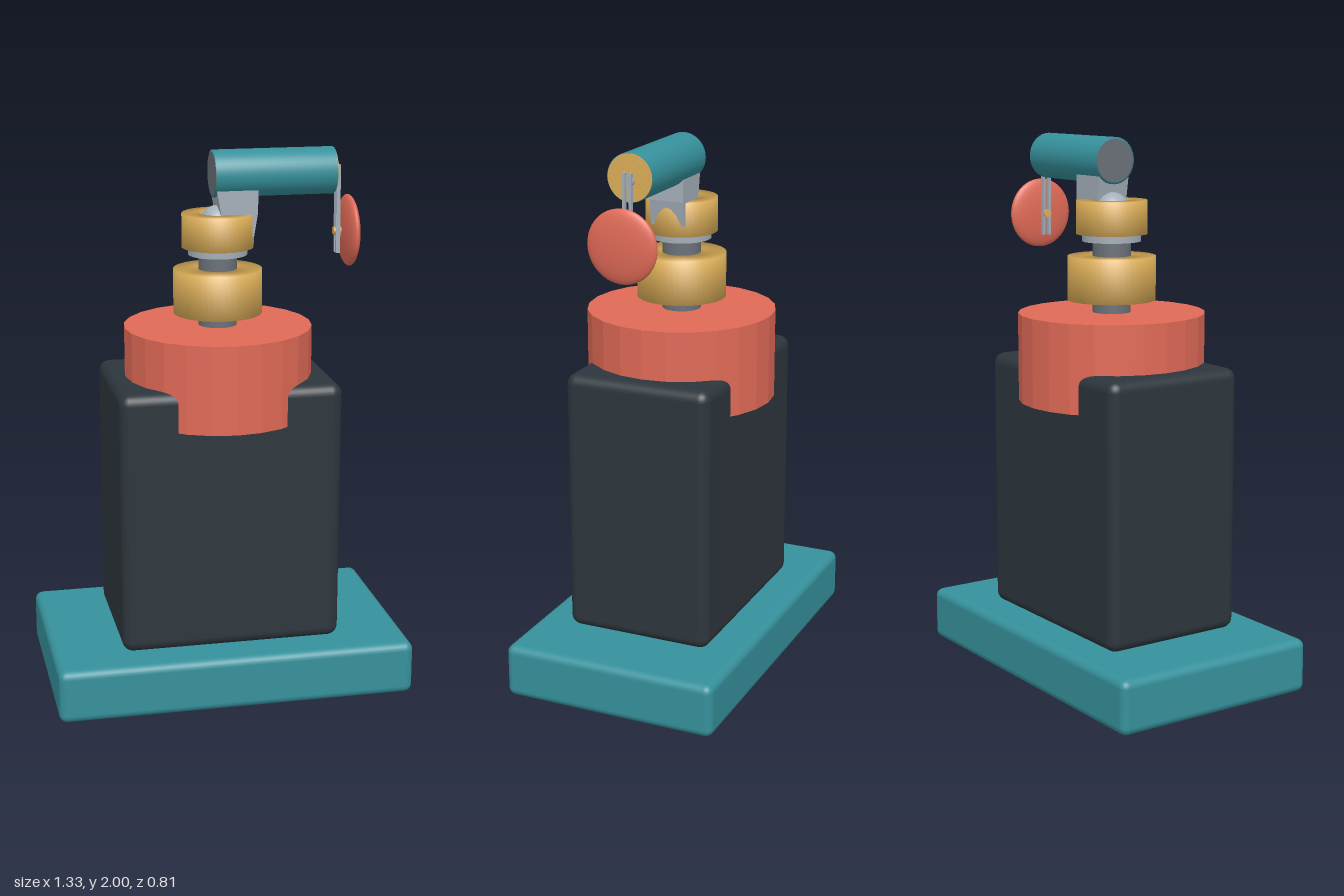
import * as THREE from 'three';
import { RoundedBoxGeometry } from 'three/addons/geometries/RoundedBoxGeometry.js';

const mat = (name, color, extra = {}) => {
  const m = new THREE.MeshStandardMaterial({ color, ...extra });
  m.name = name;
  return m;
};

export function createModel() {
  const teal = mat('teal', 0x36919c);
  const dark = mat('charcoal', 0x2d363d);
  const coral = mat('coral', 0xe06a57);
  const coralFlat = coral.clone();
  coralFlat.flatShading = true;
  const gold = mat('gold', 0xdcae58);
  const steel = mat('pale steel', 0xa4afb9);
  const shaftSteel = mat('dark steel', 0x6a7178);

  const model = new THREE.Group();
  const add = (name, geometry, material, x = 0, y = 0, z = 0) => {
    const mesh = new THREE.Mesh(geometry, material);
    mesh.name = name;
    mesh.position.set(x, y, z);
    model.add(mesh);
    return mesh;
  };
  // Ring of rectangular section with softly blended corners
  const ring = (inner, outer, y0, y1) => new THREE.LatheGeometry(
    [[inner, y0], [outer, y0], [outer, y1], [inner, y1], [inner, y0]]
      .map(([r, y]) => new THREE.Vector2(r, y)), 48);

  // Pedestal
  add('base', new RoundedBoxGeometry(1.325, 0.2, 0.813, 3, 0.03), teal, 0, 0.105, 0);
  add('body', new RoundedBoxGeometry(0.815, 0.98, 0.557, 4, 0.04), dark, 0, 0.692, 0);
  add('collar', new THREE.CylinderGeometry(0.345, 0.345, 0.325, 24), coralFlat, 0, 1.2, 0);

  // Spindle and its rings
  add('shaft', new THREE.CylinderGeometry(0.07, 0.07, 0.41, 32), shaftSteel, 0, 1.545, 0);
  add('lowerRing', ring(0.068, 0.162, 1.408, 1.57), gold);
  add('washer', new THREE.CylinderGeometry(0.108, 0.108, 0.03, 40), steel, 0, 1.638, 0);
  add('upperRing', ring(0.066, 0.131, 1.65, 1.773), gold);
  add('spindleTip', new THREE.SphereGeometry(0.066, 24, 12, 0, Math.PI * 2, 0, Math.PI / 2), steel, 0, 1.735, 0);

  // Slanted elbow carrying the barrel
  const elbowShape = new THREE.Shape([[-0.015, 1.86], [0.005, 1.745], [0.12, 1.69], [0.135, 1.78], [0.135, 1.86]]
    .map(([x, y]) => new THREE.Vector2(x, y)));
  add('elbow', new THREE.ExtrudeGeometry(elbowShape, { depth: 0.13, bevelEnabled: false }), steel, 0, 0, -0.065);

  // Horizontal barrel; its axis runs along +x
  const barrel = new THREE.Group();
  barrel.name = 'barrel';
  barrel.position.set(0.2025, 1.915, 0);
  barrel.rotation.z = -Math.PI / 2;
  model.add(barrel);
  const addBarrel = (name, geometry, material, y) => {
    const mesh = new THREE.Mesh(geometry, material);
    mesh.name = name;
    mesh.position.y = y;
    barrel.add(mesh);
  };
  addBarrel('barrelTube', ring(0.06, 0.085, -0.222, 0.222), teal, 0);
  addBarrel('rearCap', new THREE.CylinderGeometry(0.079, 0.079, 0.004, 40), shaftSteel, -0.222);
  for (let i = 0; i < 5; i++) {
    const r = 0.083 - i * 0.014;
    addBarrel('frontCapStep', new THREE.CylinderGeometry(r, r, 0.004, 40), gold, 0.222 + i * 0.001);
  }

  // Crank: pivot, twin bars and the disc-shaped handle
  const pivot = add('pivot', new THREE.CylinderGeometry(0.02, 0.02, 0.02, 20), steel, 0.434, 1.905, 0);
  pivot.rotation.z = Math.PI / 2;
  for (const side of [-1, 1]) {
    const bar = add('crankBar', new THREE.BoxGeometry(0.016, 0.325, 0.01), steel, 0.446, 1.773, side * 0.012);
    bar.rotation.z = 0.01;
  }
  const pin = add('handlePin', new THREE.CylinderGeometry(0.015, 0.015, 0.04, 16), gold, 0.452, 1.692, 0);
  pin.rotation.z = Math.PI / 2;
  const handle = add('handle', new THREE.SphereGeometry(0.131, 40, 24), coral, 0.489, 1.692, 0);
  handle.scale.x = 0.22;

  return model;
}
